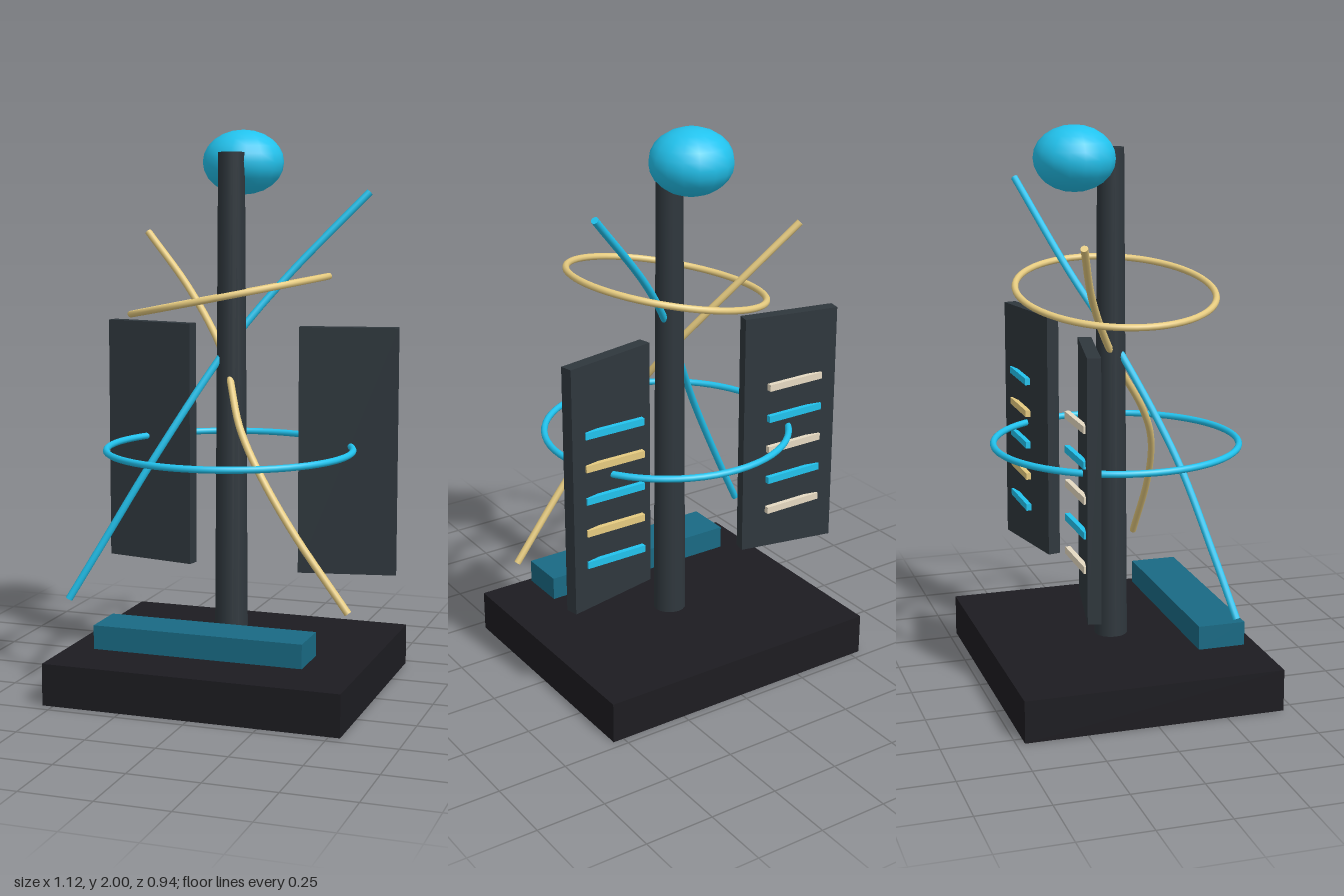
import * as THREE from 'three';

const BLUE = 0x22c3ee, GOLD = 0xe6cb80, CREAM = 0xe6dac2, SLATE = 0x2f373d, BLACK = 0x1d1c21, TEAL = 0x196a84;
const mat = (color) => new THREE.MeshStandardMaterial({ color });

function add(parent, name, geometry, color, x = 0, y = 0, z = 0) {
  const mesh = new THREE.Mesh(geometry, mat(color));
  mesh.name = name;
  mesh.position.set(x, y, z);
  parent.add(mesh);
  return mesh;
}

// Round rod along a smooth path, closed at both ends
function addRod(parent, name, points, color, radius = 0.013) {
  const curve = new THREE.CatmullRomCurve3(points.map((p) => new THREE.Vector3(...p)));
  const rod = new THREE.Group();
  rod.name = name;
  add(rod, name + 'Tube', new THREE.TubeGeometry(curve, 48, radius, 10), color);
  for (const t of [0, 1]) {
    const end = curve.getPointAt(t);
    const out = curve.getTangentAt(t).multiplyScalar(t ? 1 : -1);
    const cap = add(rod, name + 'Cap', new THREE.CircleGeometry(radius, 10), color, end.x, end.y, end.z);
    cap.quaternion.setFromUnitVectors(new THREE.Vector3(0, 0, 1), out);
  }
  parent.add(rod);
}

export function createModel() {
  const model = new THREE.Group();
  model.name = 'sculpture';

  // Base, floating front bar and tapered column
  add(model, 'base', new THREE.BoxGeometry(1.08, 0.15, 0.93), BLACK, 0, 0.075, -0.005);
  add(model, 'frontBar', new THREE.BoxGeometry(0.76, 0.085, 0.17), TEAL, 0, 0.2375, 0.287);
  add(model, 'column', new THREE.CylinderGeometry(0.047, 0.06, 1.77, 16), SLATE, 0, 1.035, -0.004);

  // Flattened ball behind the column top
  const ball = add(model, 'ball', new THREE.SphereGeometry(1, 16, 12), BLUE, 0, 1.885, -0.135);
  ball.scale.set(0.146, 0.115, 0.144);

  // Level lower ring and tilted upper ring
  const lowerRing = add(model, 'lowerRing', new THREE.TorusGeometry(0.44, 0.012, 10, 64), BLUE, 0, 0.87, 0.016);
  lowerRing.rotation.x = Math.PI / 2;
  const upperRing = new THREE.TorusGeometry(0.355, 0.012, 10, 64).rotateX(Math.PI / 2);
  add(model, 'upperRing', upperRing, GOLD, 0, 1.42, 0.015).rotation.z = 0.2;

  // Crossing curved rods that sweep through the column
  addRod(model, 'blueRod', [
    [-0.51, 0.345, 0.29], [-0.4, 0.54, 0.247], [-0.22, 0.865, 0.163],
    [0, 1.25, 0], [0.17, 1.48, -0.115], [0.44, 1.78, -0.237],
  ], BLUE);
  addRod(model, 'goldRod', [
    [0.505, 0.365, 0.245], [0.3, 0.64, 0.238], [0.17, 0.83, 0.205], [0.08, 0.97, 0.14],
    [-0.03, 1.2, -0.01], [-0.2, 1.42, -0.13], [-0.4, 1.63, -0.217],
  ], GOLD);

  // Angled side panels with a ladder of strips on the back
  for (const side of [1, -1]) {
    const panel = new THREE.BoxGeometry(0.357, 0.9, 0.046);
    add(model, side > 0 ? 'leftPanel' : 'rightPanel', panel, SLATE, side * 0.38, 0.85, -0.196).rotation.y = side * 0.2;
    const colors = side > 0 ? [BLUE, GOLD] : [CREAM, BLUE];
    for (let i = 0; i < 5; i++) {
      add(model, 'strip', new THREE.BoxGeometry(0.23, 0.025, 0.018), colors[i % 2], side * 0.38, 1.05 - i * 0.12, -0.241);
    }
  }
  return model;
}
